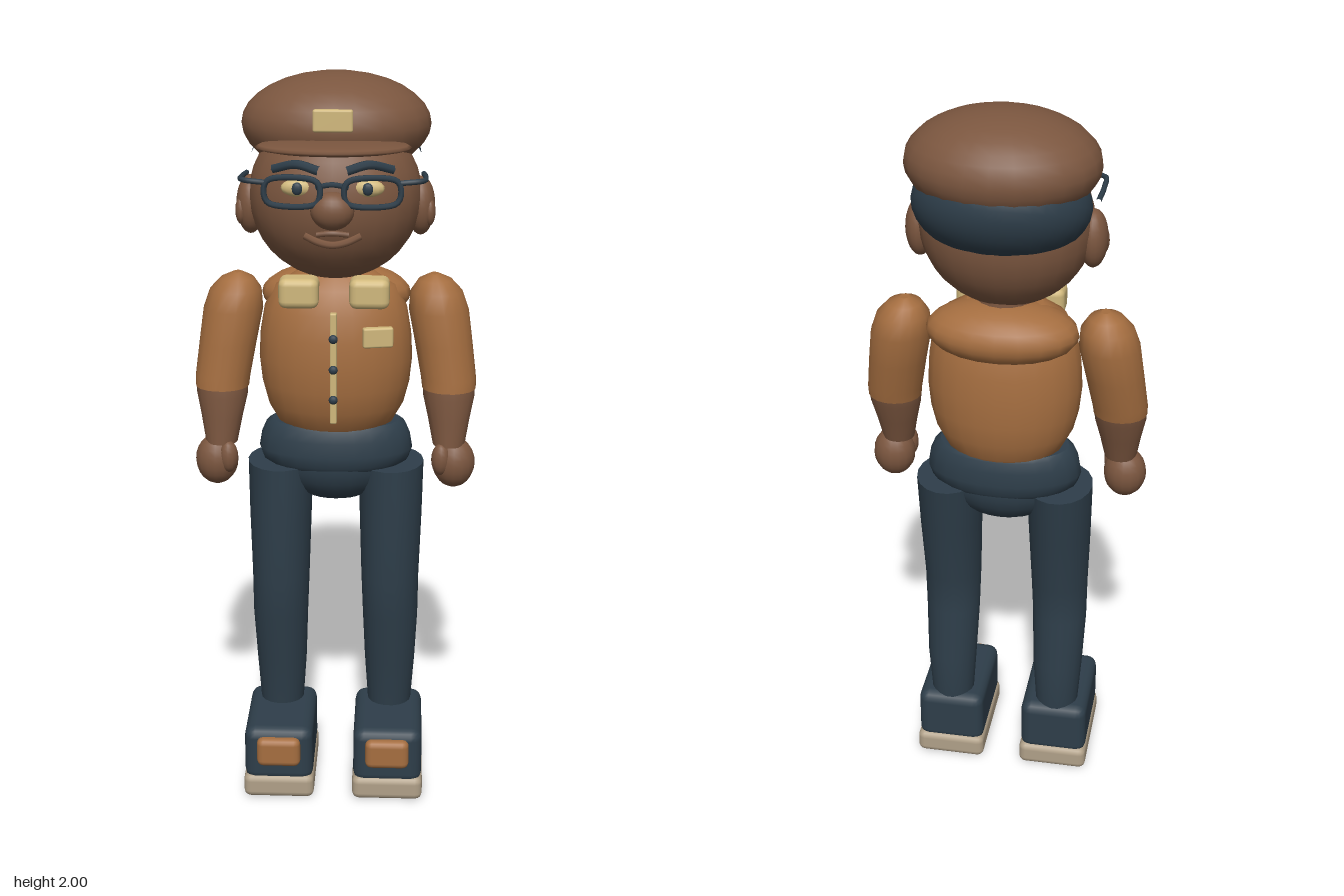
import * as THREE from 'three';
import { RoundedBoxGeometry } from 'three/addons/geometries/RoundedBoxGeometry.js';

const mat = (name, color) => {
  const m = new THREE.MeshStandardMaterial({ color });
  m.name = name;
  return m;
};

// Closed skin through level elliptical rings [x, y, z, rx, rz], listed bottom to top, with flat ends
function loft(rings, segs = 20) {
  const pos = [], idx = [];
  const first = rings[0], last = rings[rings.length - 1];
  const flat = (r) => [r[0], r[1], r[2], 0, 0];
  const rows = [flat(first), first, ...rings, last, flat(last)];
  for (const [x, y, z, rx, rz] of rows) {
    for (let j = 0; j < segs; j++) {
      const a = (j / segs) * Math.PI * 2;
      pos.push(x + Math.cos(a) * rx, y, z + Math.sin(a) * rz);
    }
  }
  for (let i = 0; i < rows.length - 1; i++) {
    if (i === 1 || i === rows.length - 3) continue; // doubled rows keep the rims sharp
    for (let j = 0; j < segs; j++) {
      const k = (j + 1) % segs, a = i * segs, b = a + segs;
      idx.push(a + j, b + j, a + k, a + k, b + j, b + k);
    }
  }
  const g = new THREE.BufferGeometry();
  g.setAttribute('position', new THREE.Float32BufferAttribute(pos, 3));
  g.setIndex(idx);
  g.computeVertexNormals();
  return g;
}

export function createModel() {
  const group = new THREE.Group();
  const skin = mat('brown', 0x7b563f);
  const shirt = mat('orange brown', 0xa56e40);
  const navy = mat('dark navy', 0x2e3e4a);
  const cream = mat('cream', 0xd0b87c);
  const soleMat = mat('sole tan', 0xb0a088);

  const add = (name, geo, m, p = [0, 0, 0]) => {
    const mesh = new THREE.Mesh(geo, m);
    mesh.name = name;
    mesh.position.set(...p);
    group.add(mesh);
    return mesh;
  };
  const ball = (name, m, p, r, w = 20, h = 14) =>
    add(name, new THREE.SphereGeometry(1, w, h).scale(...r), m, p);
  const box = (name, m, p, s, r) => add(name, new RoundedBoxGeometry(...s, 2, r), m, p);
  const tube = (name, m, pts, r, closed = false, n = 24) =>
    add(name, new THREE.TubeGeometry(new THREE.CatmullRomCurve3(
      pts.map((p) => new THREE.Vector3(...p)), closed), n, r, 6, closed), m);

  // Head
  ball('head', skin, [0, 1.69, -0.005], [0.225, 0.218, 0.19], 24, 18);
  add('neck', new THREE.CylinderGeometry(0.07, 0.08, 0.12, 16), skin, [0, 1.48, -0.03]);
  ball('nose', skin, [0, 1.685, 0.185], [0.055, 0.048, 0.04]);
  tube('mouth', skin, [[-0.07, 1.618, 0.163], [-0.035, 1.603, 0.172], [0, 1.597, 0.176],
    [0.035, 1.603, 0.172], [0.07, 1.618, 0.163]], 0.01);
  tube('upperLip', skin, [[-0.04, 1.622, 0.171], [0, 1.627, 0.178], [0.04, 1.622, 0.171]], 0.007);

  // Hair wrapped round the back of the head
  const hairMat = add('hair', new THREE.SphereGeometry(1, 20, 16, Math.PI, Math.PI)
    .scale(0.226, 0.14, 0.182), navy, [0, 1.765, -0.075]);
  hairMat.rotation.x = 0.43;

  // Cap
  ball('capCrown', skin, [0, 1.868, -0.057], [0.246, 0.132, 0.2], 24, 16);
  const brim = ball('capBrim', skin, [0, 1.833, 0.115], [0.197, 0.018, 0.14], 24, 10);
  brim.rotation.x = -0.03;
  box('capBadge', cream, [0, 1.902, 0.15], [0.1, 0.056, 0.018], 0.006);

  // Torso
  add('shirtBody', loft([[0, 1.05, -0.04, 0.13, 0.095], [0, 1.07, -0.038, 0.157, 0.113],
    [0, 1.12, -0.034, 0.184, 0.134], [0, 1.18, -0.032, 0.199, 0.145],
    [0, 1.25, -0.03, 0.206, 0.148], [0, 1.32, -0.03, 0.202, 0.144],
    [0, 1.39, -0.03, 0.19, 0.132], [0, 1.45, -0.03, 0.16, 0.105],
    [0, 1.485, -0.03, 0.1, 0.07]], 24), shirt);
  ball('shirtYoke', shirt, [0, 1.415, -0.07], [0.2, 0.082, 0.12]);
  box('placket', cream, [0, 1.257, 0.122], [0.018, 0.3, 0.022], 0.004);
  for (const y of [1.34, 1.257, 1.175]) ball('button', navy, [0, y, 0.136], [0.012, 0.012, 0.01], 10, 8);
  const pocket = box('pocketFlap', cream, [0.115, 1.337, 0.1], [0.08, 0.054, 0.022], 0.006);
  pocket.rotation.y = 0.2;

  // Waist and hips
  add('waistband', loft([[0, 0.94, -0.035, 0.17, 0.1], [0, 0.96, -0.035, 0.2, 0.115],
    [0, 0.99, -0.036, 0.21, 0.119], [0, 1.03, -0.037, 0.203, 0.115],
    [0, 1.06, -0.038, 0.19, 0.108], [0, 1.07, -0.038, 0.175, 0.1]], 24), navy);
  ball('hips', navy, [0, 0.96, -0.035], [0.165, 0.122, 0.11]);

  // Glasses bridge
  tube('glassesBridge', navy, [[-0.04, 1.745, 0.19], [0, 1.753, 0.198], [0.04, 1.745, 0.19]], 0.007);

  for (const s of [1, -1]) {
    const side = s > 0 ? 'left' : 'right';
    const at = (x, y, z) => [s * x, y, z];

    // Face details
    ball(side + 'Ear', skin, at(0.222, 1.663, -0.013), [0.037, 0.077, 0.05]);
    ball(side + 'EarLobe', skin, at(0.245, 1.65, 0.01), [0.015, 0.036, 0.022], 12, 8);
    ball(side + 'Eye', cream, at(0.088, 1.738, 0.16), [0.042, 0.022, 0.018], 14, 10);
    ball(side + 'Pupil', navy, at(0.088, 1.738, 0.175), [0.014, 0.016, 0.008], 10, 8);
    tube(side + 'Brow', navy, [at(0.035, 1.782, 0.172), at(0.09, 1.796, 0.16),
      at(0.15, 1.78, 0.132)], 0.012, false, 12);
    const w = 0.068, h = 0.031, c = 0.014;
    tube(side + 'LensFrame', navy, [[w - c, h], [-w + c, h], [-w, h - c], [-w, -h + c],
      [-w + c, -h], [w - c, -h], [w, -h + c], [w, h - c]]
      .map(([x, y]) => at(0.1 + x, 1.733 + y, 0.2 - (x + w) * 0.12)), 0.008, true, 40);
    tube(side + 'Temple', navy, [at(0.165, 1.755, 0.184), at(0.225, 1.758, 0.165),
      at(0.232, 1.755, 0.1), at(0.228, 1.75, 0.015)], 0.007);

    // Collar
    box(side + 'Collar', cream, at(0.092, 1.45, 0.07), [0.105, 0.08, 0.08], 0.02);

    // Arm
    add(side + 'Sleeve', loft([at(0.306, 1.17, -0.005).concat(0.072, 0.067),
      at(0.304, 1.2, -0.01).concat(0.074, 0.07), at(0.29, 1.29, -0.025).concat(0.077, 0.078),
      at(0.275, 1.38, -0.037).concat(0.08, 0.085), at(0.268, 1.43, -0.04).concat(0.069, 0.074),
      at(0.264, 1.46, -0.04).concat(0.045, 0.05), at(0.262, 1.476, -0.04).concat(0.012, 0.015)], 18), shirt);
    add(side + 'Forearm', loft([at(0.308, 1.02, 0.025).concat(0.043, 0.043),
      at(0.307, 1.09, 0.012).concat(0.056, 0.053), at(0.306, 1.15, 0).concat(0.069, 0.064),
      at(0.306, 1.18, -0.005).concat(0.07, 0.065)], 18), skin);
    ball(side + 'Hand', skin, at(0.322, 0.968, 0.025), [0.058, 0.07, 0.054], 16, 12);
    ball(side + 'Thumb', skin, at(0.287, 0.985, 0.055), [0.026, 0.045, 0.026], 12, 10);

    // Leg
    add(side + 'Leg', loft([at(0.155, 0.19, -0.038).concat(0.06, 0.057),
      at(0.155, 0.35, -0.035).concat(0.071, 0.069), at(0.155, 0.5, -0.01).concat(0.077, 0.072),
      at(0.153, 0.62, -0.01).concat(0.08, 0.082), at(0.153, 0.8, -0.025).concat(0.086, 0.1),
      at(0.152, 0.95, -0.037).concat(0.09, 0.112)], 18), navy);

    // Shoe
    box(side + 'Shoe', navy, at(0.153, 0.132, 0.037), [0.192, 0.165, 0.285], 0.03);
    box(side + 'Sole', soleMat, at(0.153, 0.036, 0.036), [0.198, 0.07, 0.3], 0.02);
    box(side + 'ToePatch', shirt, at(0.152, 0.15, 0.178), [0.122, 0.085, 0.045], 0.018);
  }

  // Rest the soles on the ground
  group.updateMatrixWorld(true);
  group.position.y = -new THREE.Box3().setFromObject(group).min.y;
  return group;
}
